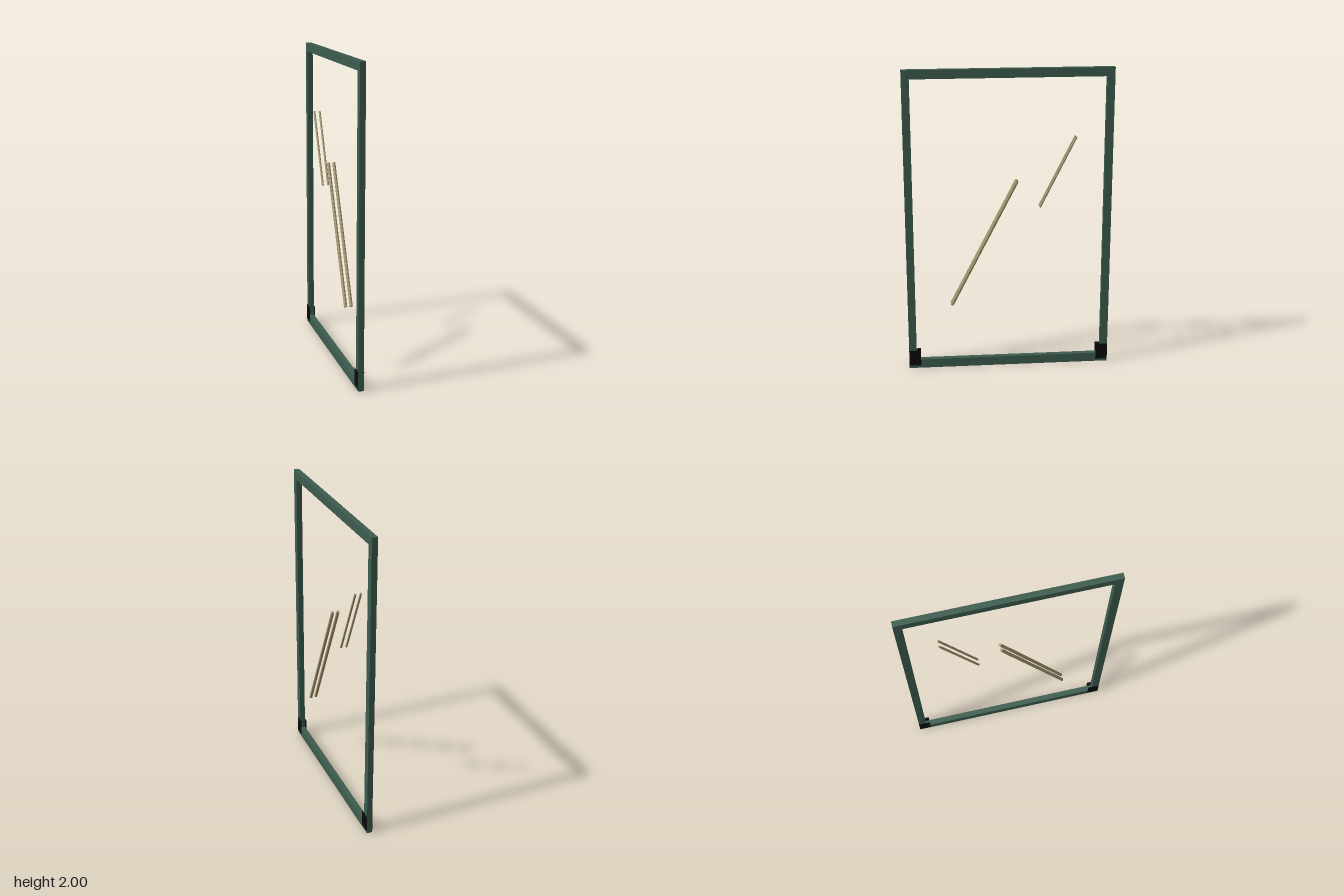
import * as THREE from 'three';

const frameGreen = new THREE.MeshStandardMaterial({ color: 0x3d5c4f });
frameGreen.name = 'frame green';
const padBlack = new THREE.MeshStandardMaterial({ color: 0x0a0a0a });
padBlack.name = 'corner black';
const glintTan = new THREE.MeshStandardMaterial({ color: 0xa69871, flatShading: true });
glintTan.name = 'glint tan';

const HALF_W = 0.665, HEIGHT = 2, HALF_T = 0.018;
const POST = 0.05, TOP = 0.057, BOTTOM = 0.06;

export function createModel() {
  const model = new THREE.Group();
  model.name = 'framedPane';

  const box = (name, material, size, position) => {
    const mesh = new THREE.Mesh(new THREE.BoxGeometry(...size), material);
    mesh.position.set(...position);
    mesh.name = name;
    model.add(mesh);
  };

  // Round rod between two points given as [z, y]
  const rod = (name, x, radius, from, to) => {
    const a = new THREE.Vector3(x, from[1], from[0]);
    const b = new THREE.Vector3(x, to[1], to[0]);
    const mesh = new THREE.Mesh(new THREE.CylinderGeometry(radius, radius, a.distanceTo(b), 8), glintTan);
    mesh.position.copy(a).lerp(b, 0.5);
    mesh.quaternion.setFromUnitVectors(new THREE.Vector3(0, 1, 0), b.sub(a).normalize());
    mesh.name = name;
    model.add(mesh);
  };

  // Rails span between the posts
  const railLength = 2 * (HALF_W - POST);
  box('topRail', frameGreen, [2 * HALF_T, TOP, railLength], [0, HEIGHT - TOP / 2, 0]);
  box('bottomRail', frameGreen, [2 * HALF_T, BOTTOM, railLength], [0, BOTTOM / 2, 0]);

  for (const end of [1, -1]) {
    box(end > 0 ? 'frontPost' : 'backPost', frameGreen,
      [2 * HALF_T, HEIGHT, POST], [0, HEIGHT / 2, end * (HALF_W - POST / 2)]);
    // Thin corner plates on both faces
    for (const side of [1, -1]) {
      box('cornerPlate', padBlack, [0.002, 0.107, 0.078],
        [side * (HALF_T + 0.001), 0.0715, end * (HALF_W - 0.039)]);
    }
  }

  // Slanted glints on both faces of the open pane
  for (const side of [1, -1]) {
    rod('longGlint', side * HALF_T, 0.0105, [0.375, 0.445], [-0.053, 1.28]);
    rod('shortGlint', side * HALF_T, 0.007, [-0.2, 1.103], [-0.428, 1.56]);
  }

  return model;
}
